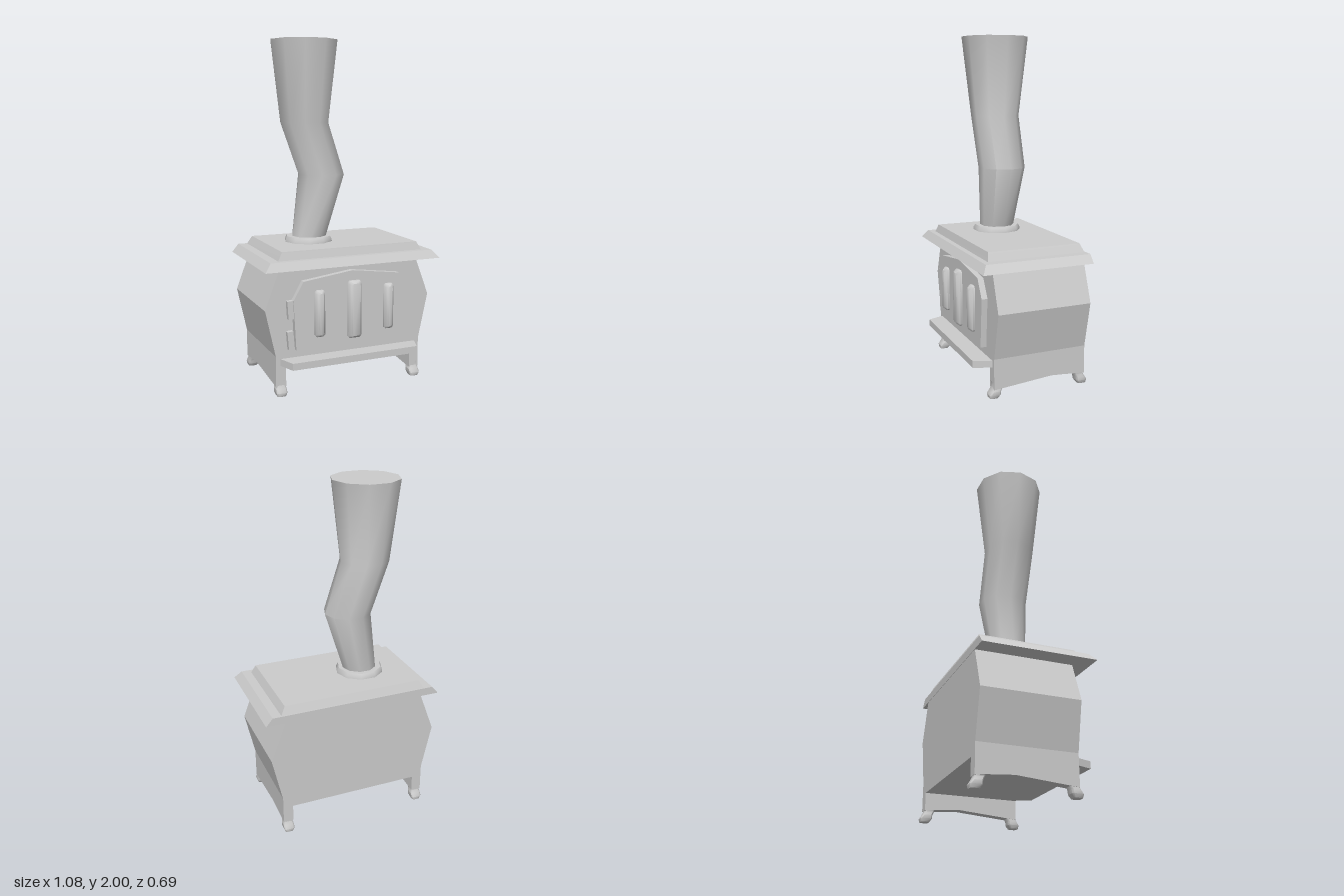
import * as THREE from 'three';
import { toCreasedNormals } from 'three/addons/utils/BufferGeometryUtils.js';

const material = new THREE.MeshStandardMaterial({ color: 0xcccccc });

// Cross-sections at height y, listed counterclockwise as seen from above
function rect(y, x0, x1, z0, z1, c = 0) {
  const pts = c
    ? [[x0 + c, z1], [x1 - c, z1], [x1, z1 - c], [x1, z0 + c], [x1 - c, z0], [x0 + c, z0], [x0, z0 + c], [x0, z1 - c]]
    : [[x0, z1], [x1, z1], [x1, z0], [x0, z0]];
  return pts.map(([x, z]) => [x, y, z]);
}

function disc(y, cx, cz, r, sides = 10) {
  return Array.from({ length: sides }, (_, i) => {
    const a = (i / sides) * Math.PI * 2;
    return [cx + r * Math.cos(a), y, cz - r * Math.sin(a)];
  });
}

// Closed solid through a rising stack of cross-sections
function loft(rings) {
  const n = rings[0].length, index = [], last = (rings.length - 1) * n;
  for (let r = 0; r < rings.length - 1; r++) {
    for (let i = 0; i < n; i++) {
      const j = (i + 1) % n, a = r * n + i, b = r * n + j;
      index.push(a, b, b + n, a, b + n, a + n);
    }
  }
  for (let i = 1; i < n - 1; i++) {
    index.push(last, last + i, last + i + 1, 0, i + 1, i);
  }
  const geo = new THREE.BufferGeometry();
  geo.setAttribute('position', new THREE.Float32BufferAttribute(rings.flat(2), 3));
  geo.setIndex(index);
  return toCreasedNormals(geo, 0.8);
}

function extrude(points, z0, z1, steps = 1) {
  const shape = new THREE.Shape(points.map(([x, y]) => new THREE.Vector2(x, y)));
  return new THREE.ExtrudeGeometry(shape, { depth: z1 - z0, steps, bevelEnabled: false }).translate(0, 0, z0);
}

export function createModel() {
  const model = new THREE.Group();
  const add = (name, geo) => {
    const mesh = new THREE.Mesh(geo, material);
    mesh.name = name;
    model.add(mesh);
    return mesh;
  };

  // Firebox with bulging sides and skirts reaching down to the feet
  const half = [[0.395, 0.165], [0.395, 0.06], [0.455, 0.06], [0.455, 0.23], [0.515, 0.5], [0.425, 0.74]];
  const outline = [...half, ...half.map(([x, y]) => [-x, y]).reverse()];
  const body = extrude(outline, -0.325, 0.24, 8);
  const p = body.attributes.position;
  for (let i = 0; i < p.count; i++) {
    if (p.getY(i) < 0.1) {
      const t = (p.getZ(i) + 0.12) / 0.36;
      p.setY(i, 0.082 - 0.03 * Math.min(1, Math.abs(t)));
    }
  }
  body.computeVertexNormals();
  add('firebox', body);

  // Feet flaring forward at the front and backward at the back
  for (const x of [-0.425, 0.425]) {
    for (const front of [true, false]) {
      const rows = [[0, 0.025, 0.025, 0.075], [0.02, 0.032, 0.012, 0.078], [0.04, 0.031, 0.01, 0.065],
        [0.06, 0.026, 0.0, 0.055], [0.09, 0.029, -0.01, 0.055]];
      const rings = rows.map(([y, w, a, b]) => front
        ? rect(y, x - w, x + w, 0.185 + a, 0.185 + b, 0.008)
        : rect(y, x - w, x + w, -0.268 - b, -0.268 - a, 0.008));
      add(front ? 'frontFoot' : 'backFoot', loft(rings));
    }
  }

  // Overhanging rim and raised cooktop
  add('topRim', loft([
    rect(0.735, -0.54, 0.54, -0.327, 0.335),
    rect(0.782, -0.5, 0.5, -0.327, 0.305),
  ]));
  add('cooktop', loft([
    rect(0.775, -0.45, 0.45, -0.322, 0.275),
    rect(0.785, -0.445, 0.445, -0.318, 0.272),
    rect(0.83, -0.42, 0.42, -0.3, 0.26),
  ]));

  // Crooked stovepipe, widening towards the top, and its collar
  add('pipeCollar', loft([
    disc(0.825, -0.152, -0.03, 0.145), disc(0.845, -0.152, -0.03, 0.143), disc(0.862, -0.152, -0.03, 0.133),
  ]));
  add('stovepipe', loft([
    disc(0.83, -0.155, -0.03, 0.1), disc(1.225, -0.07, -0.03, 0.14),
    disc(1.53, -0.175, -0.03, 0.145), disc(2, -0.175, -0.03, 0.2),
  ]));

  // Door with arched top
  add('door', extrude([[-0.345, 0.265], [0.34, 0.265], [0.36, 0.55], [0.3, 0.655],
    [0, 0.695], [-0.3, 0.655], [-0.36, 0.55]], 0.23, 0.275));

  // Rounded bars on the door: lofted upward, then turned to face the front
  for (const [x, w, y0, y1] of [[-0.205, 0.03, 0.33, 0.6], [0.01, 0.042, 0.3, 0.637], [0.228, 0.03, 0.33, 0.6]]) {
    const ring = (z, inset) => rect(z, x - w + inset, x + w - inset, -y1 + inset, -y0 - inset, 0.012);
    add('doorBar', loft([ring(0.27, 0), ring(0.288, 0), ring(0.308, 0.015)]).rotateX(Math.PI / 2));
  }

  // Hinges
  for (const [y, tilt] of [[0.497, 0.06], [0.322, 0.08]]) {
    const hinge = add('hinge', new THREE.BoxGeometry(0.035, 0.105, 0.035));
    hinge.position.set(-0.373, y, 0.25);
    hinge.rotation.z = tilt;
  }

  // Ash shelf, narrowing towards its front edge
  add('ashShelf', loft([
    rect(0.235, -0.43, 0.43, -0.215, -0.175),
    rect(0.342, -0.39, 0.39, -0.215, -0.175),
  ]).rotateX(Math.PI / 2));

  return model;
}
